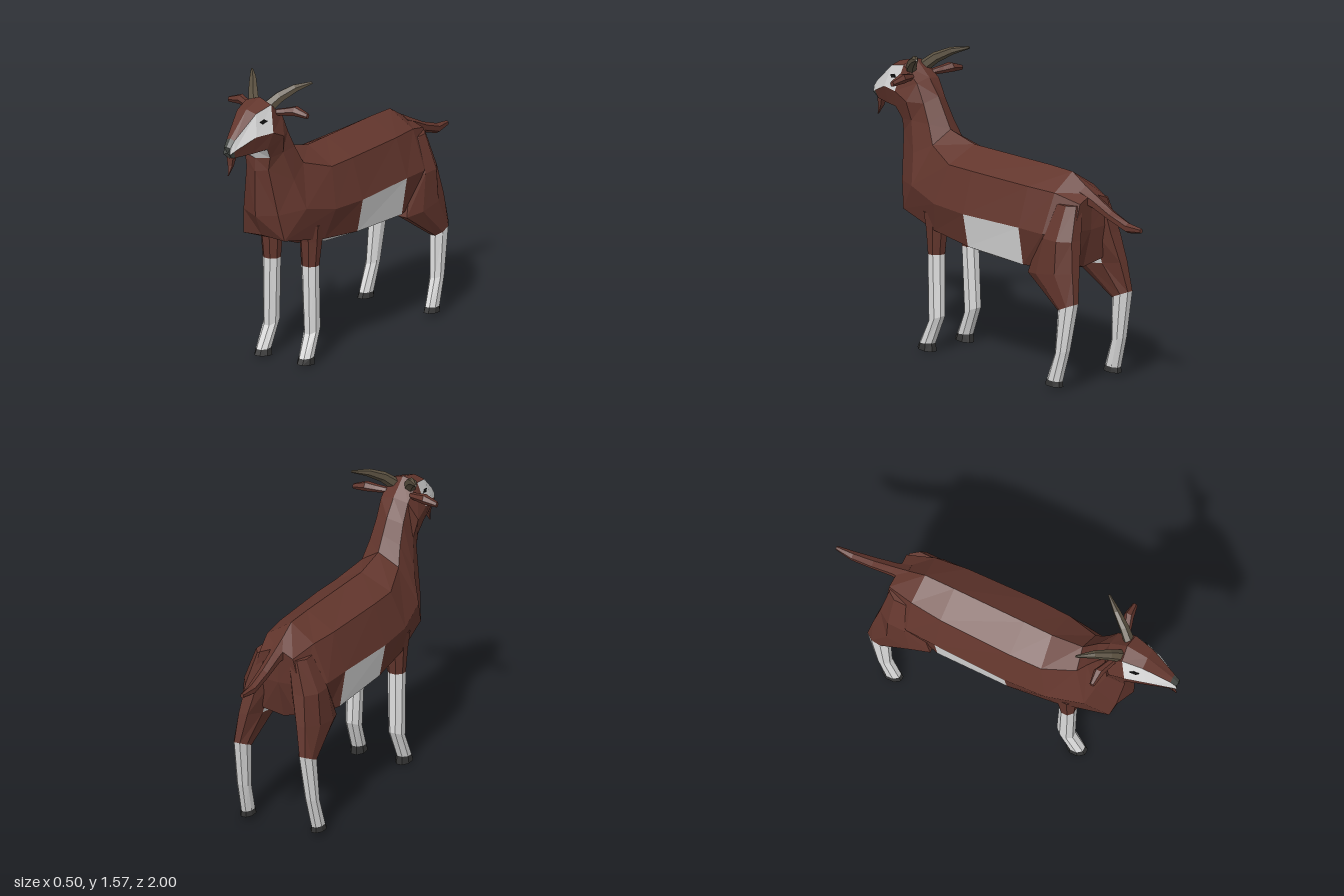
import * as THREE from 'three';

const paint = (name, color) => Object.assign(new THREE.MeshStandardMaterial({ color, flatShading: true }), { name });

// Skin a list of equal-length rings; pick(segment, strip) chooses the material, caps ask for segment -1 and -2.
function loft(name, rings, mats, pick = () => 0) {
  const n = rings[0].length;
  const lists = mats.map(() => []);
  const last = rings.length - 1;
  for (let i = 0; i < last; i++) for (let j = 0; j < n; j++) {
    const k = (j + 1) % n;
    const [a, b, c, d] = [rings[i][j], rings[i][k], rings[i + 1][k], rings[i + 1][j]];
    lists[pick(i, j)].push([a, b, c], [a, c, d]);
  }
  const cap = (ring, id, flip) => {
    const mid = [0, 1, 2].map(q => ring.reduce((s, p) => s + p[q], 0) / n);
    ring.forEach((p, j) => {
      const r = ring[(j + 1) % n];
      lists[pick(id, j)].push(flip ? [mid, r, p] : [mid, p, r]);
    });
  };
  cap(rings[0], -1, true);
  cap(rings[last], -2, false);

  // Turn every face outward using the sign of the enclosed volume
  let volume = 0;
  const o = new THREE.Vector3(...rings[0][0]);
  const v = p => new THREE.Vector3(...p).sub(o);
  for (const [a, b, c] of lists.flat()) volume += v(a).dot(v(b).cross(v(c)));
  const geo = new THREE.BufferGeometry();
  const pos = [];
  lists.forEach((tris, m) => {
    const start = pos.length / 3;
    for (const [a, b, c] of tris) pos.push(...a, ...(volume < 0 ? c : b), ...(volume < 0 ? b : c));
    if (tris.length) geo.addGroup(start, tris.length * 3, m);
  });
  geo.setAttribute('position', new THREE.Float32BufferAttribute(pos, 3));
  geo.computeVertexNormals();
  const mesh = new THREE.Mesh(geo, mats);
  mesh.name = name;
  return mesh;
}

// Mirror a half section (crown to keel) into a closed ring
const mirrorRing = half => [...half, ...half.slice(1, -1).reverse().map(([x, y, z]) => [-x, y, z])];
const stripOf = j => (j < 4 ? j : 7 - j);

// Polygon ring around a centre with half axes a and b
function ring(c, a, b, n = 8) {
  const k = 1 / Math.cos(Math.PI / n);
  return Array.from({ length: n }, (_, i) => {
    const t = (i + 0.5) / n * Math.PI * 2;
    return c.map((q, m) => q + k * (Math.cos(t) * a[m] + Math.sin(t) * b[m]));
  });
}

// Leg section: inner x, outer x, front (z, y), back (z, y)
const legRing = (s, [xi, xo, zf, yf, zb, yb]) =>
  ring([s * (xi + xo) / 2, (yf + yb) / 2, (zf + zb) / 2], [s * (xo - xi) / 2, 0, 0], [0, (yf - yb) / 2, (zf - zb) / 2]);

export function createModel() {
  const brown = paint('brown coat', 0x63362d);
  const white = paint('white coat', 0xdcdcdc);
  const horn = paint('horn', 0x5a5040);
  const hoof = paint('hoof', 0x333333);
  const nose = paint('nose', 0x444844);
  const black = paint('eye black', 0x111111);
  const goat = new THREE.Group();
  goat.name = 'goat';

  // Trunk and neck: crown, upper side, widest, lower side, keel
  const throat = [[0, 1.505, 0.70], [0.08, 1.48, 0.71], [0.115, 1.34, 0.74], [0.09, 1.25, 0.76], [0, 1.24, 0.77]];
  const trunk = [
    [[0, 1.03, -0.63], [0.10, 0.99, -0.64], [0.14, 0.85, -0.64], [0.10, 0.66, -0.60], [0, 0.62, -0.56]],
    [[0, 1.12, -0.48], [0.14, 1.03, -0.49], [0.22, 0.82, -0.48], [0.17, 0.62, -0.40], [0, 0.59, -0.40]],
    [[0, 1.125, -0.31], [0.16, 1.035, -0.31], [0.228, 0.825, -0.31], [0.195, 0.62, -0.31], [0, 0.58, -0.31]],
    [[0, 1.125, 0.10], [0.17, 1.04, 0.10], [0.235, 0.82, 0.10], [0.2, 0.64, 0.10], [0, 0.55, 0.10]],
    [[0, 1.125, 0.26], [0.165, 1.04, 0.28], [0.225, 0.83, 0.33], [0.18, 0.67, 0.37], [0, 0.61, 0.36]],
    [[0, 1.17, 0.44], [0.11, 1.10, 0.46], [0.185, 0.88, 0.54], [0.13, 0.725, 0.66], [0, 0.74, 0.68]],
    [[0, 1.25, 0.485], [0.09, 1.20, 0.51], [0.135, 1.04, 0.58], [0.11, 0.87, 0.69], [0, 0.86, 0.74]],
    [[0, 1.33, 0.53], [0.08, 1.30, 0.56], [0.10, 1.20, 0.63], [0.07, 1.12, 0.72], [0, 1.11, 0.745]],
    [[0, 1.42, 0.60], [0.08, 1.40, 0.61], [0.12, 1.30, 0.65], [0.08, 1.19, 0.72], [0, 1.18, 0.74]],
    throat,
  ];
  goat.add(loft('trunkAndNeck', trunk.map(mirrorRing), [brown, white], (i, j) => {
    const s = stripOf(j);
    const belly = s === 3 && i >= 1 && i <= 3;
    const flankPatch = s === 2 && i === 2;
    const throatPatch = s === 3 && i === 8;
    return belly || flankPatch || throatPatch ? 1 : 0;
  }));

  // Head with white cheeks and a dark nose
  const head = [
    throat,
    [[0, 1.47, 0.82], [0.06, 1.455, 0.82], [0.085, 1.34, 0.85], [0.06, 1.245, 0.85], [0, 1.24, 0.85]],
    [[0, 1.35, 0.965], [0.025, 1.34, 0.965], [0.032, 1.285, 0.975], [0.025, 1.245, 0.96], [0, 1.235, 0.96]],
    [[0, 1.31, 1.0], [0.02, 1.305, 0.995], [0.02, 1.27, 1.0], [0.014, 1.25, 0.98], [0, 1.245, 0.975]],
  ];
  goat.add(loft('head', head.map(mirrorRing), [brown, white, nose], (i, j) => {
    const s = stripOf(j);
    if (i === -2 || (i === 2 && s !== 1)) return 2;
    return s === 1 && i >= 0 ? 1 : 0;
  }));

  // Beard and tail
  goat.add(loft('beard', [
    ring([0, 1.245, 0.955], [0.02, 0, 0], [0, 0, 0.016], 4),
    ring([0, 1.20, 0.962], [0.013, 0, 0], [0, 0, 0.009], 4),
    ring([0, 1.15, 0.985], [0.002, 0, 0], [0, 0, 0.002], 4)], [brown]));
  goat.add(loft('tail', [
    [-0.58, 1.01, 0.045, 0.045], [-0.66, 0.985, 0.033, 0.032], [-0.78, 0.935, 0.028, 0.025],
    [-0.90, 0.895, 0.022, 0.024], [-0.998, 0.897, 0.009, 0.012],
  ].map(([z, y, w, h]) => ring([0, y, z], [w, 0, 0], [0, h, 0], 6)), [brown]));

  for (const s of [1, -1]) {
    const side = s > 0 ? 'left' : 'right';

    // Front leg: brown upper, white shank, hoof
    const front = [
      [0.06, 0.19, 0.49, 0.76, 0.33, 0.76], [0.07, 0.18, 0.47, 0.67, 0.355, 0.67], [0.077, 0.168, 0.46, 0.53, 0.373, 0.53],
      [0.09, 0.168, 0.455, 0.16, 0.362, 0.20], [0.10, 0.172, 0.515, 0.04, 0.425, 0.045], [0.094, 0.176, 0.53, 0.01, 0.42, 0],
    ];
    goat.add(loft(side + 'FrontLeg', front.map(r => legRing(s, r)), [brown, white, hoof],
      i => (i === -2 || i === 4 ? 2 : i >= 2 ? 1 : 0)));

    // Hind leg: broad thigh with a pale inner patch, white shank, hoof
    const hind = [
      [0.04, 0.15, -0.48, 0.98, -0.63, 0.98], [0.06, 0.222, -0.42, 0.80, -0.655, 0.80], [0.11, 0.235, -0.35, 0.59, -0.685, 0.64],
      [0.155, 0.235, -0.59, 0.43, -0.71, 0.48], [0.17, 0.238, -0.575, 0.20, -0.66, 0.22],
      [0.178, 0.242, -0.52, 0.055, -0.612, 0.05], [0.175, 0.246, -0.507, 0.025, -0.615, 0.02],
    ];
    goat.add(loft(side + 'HindLeg', hind.map(r => legRing(s, r)), [brown, white, hoof], (i, j) => {
      if (i === -2 || i === 5) return 2;
      return i >= 3 || (i === 1 && j === 3) ? 1 : 0;
    }));

    // Horn sweeping up, out and back
    const hornPath = [[0.045, 1.455, 0.69, 0.03], [0.085, 1.505, 0.64, 0.026], [0.135, 1.545, 0.57, 0.019], [0.192, 1.566, 0.497, 0.006]];
    goat.add(loft(side + 'Horn', hornPath.map(([x, y, z, r]) =>
      ring([s * x, y, z], [s * 0.75 * r, -0.2 * r, 0.5 * r], [-s * 0.25 * r, 0.85 * r, 0.4 * r], 6)), [horn]));

    // Ear
    const earPath = [[0.07, 1.425, 0.66, 0.014, 0.018], [0.125, 1.432, 0.64, 0.019, 0.02], [0.175, 1.44, 0.622, 0.024, 0.024], [0.25, 1.425, 0.62, 0.013, 0.012]];
    goat.add(loft(side + 'Ear', earPath.map(([x, y, z, h, d]) => ring([s * x, y, z], [0, h, 0], [0, 0, d], 6)), [brown]));

    // Eye: thin diamond lying on the cheek
    const [A, B, C, D] = [head[0][1], head[1][1], head[1][2], head[0][2]];
    const onCheek = (u, t, lift) => [0, 1, 2].map(m => {
      const p = (A[m] * (1 - u) + B[m] * u) * (1 - t) + (D[m] * (1 - u) + C[m] * u) * t;
      return (p + lift * [0.95, 0.2, 0.25][m]) * (m === 0 ? s : 1);
    });
    const diamond = lift => [[0.3, 0.5], [0.5, 0.39], [0.78, 0.42], [0.6, 0.55]].map(([u, t]) => onCheek(u, t, lift));
    goat.add(loft(side + 'Eye', [diamond(-0.002), diamond(0.005)], [black]));
  }
  return goat;
}
